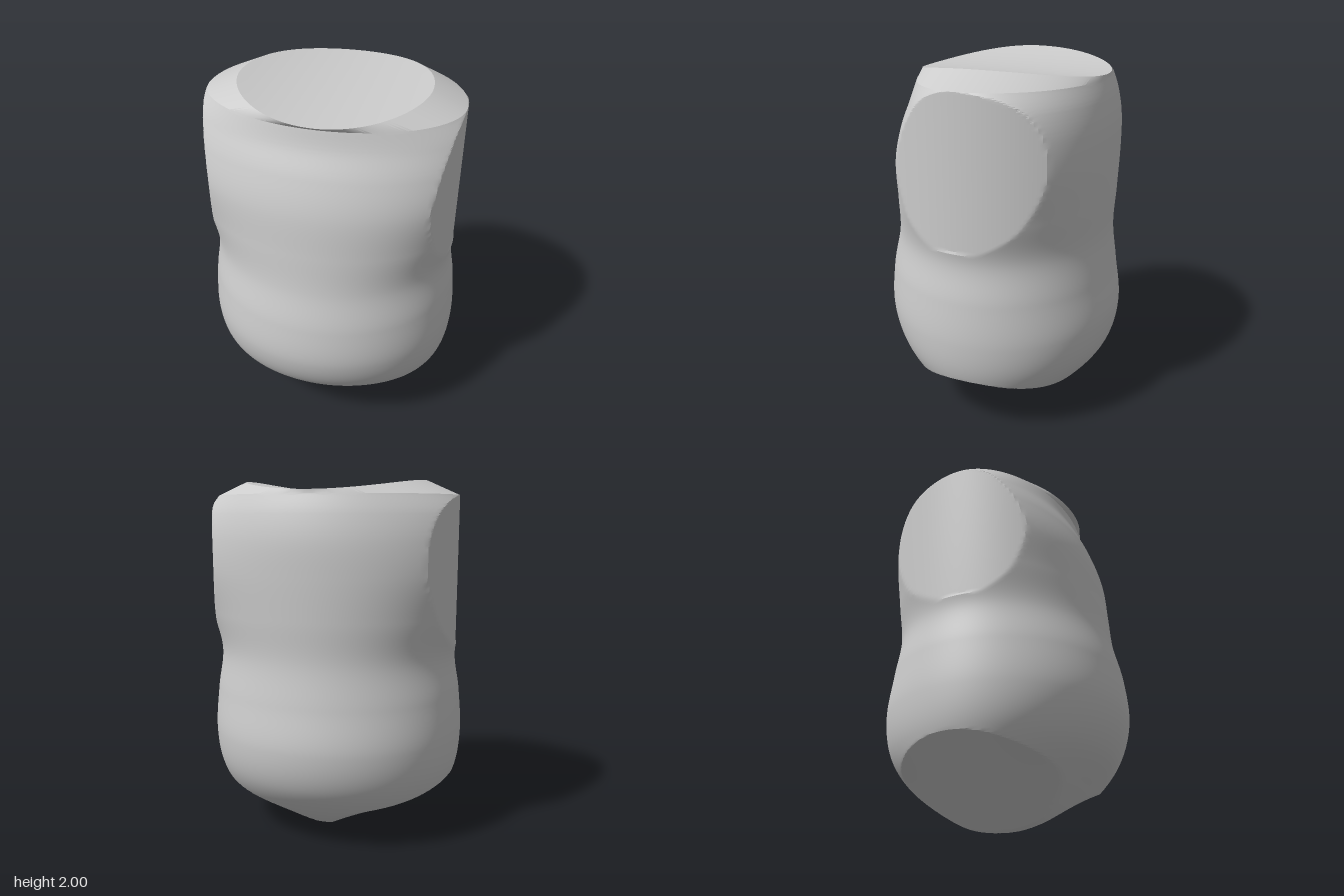
import * as THREE from 'three';
import { toCreasedNormals } from 'three/addons/utils/BufferGeometryUtils.js';

const SEGS = 180;
const ROWS = 200;

// Torso sections: height, half width, depth to the front, depth to the back
const sections = [
  [0, 0, 0, 0], [0.02, 0.25, 0.13, 0.19], [0.07, 0.43, 0.255, 0.32],
  [0.2, 0.62, 0.425, 0.5], [0.37, 0.705, 0.595, 0.63], [0.58, 0.732, 0.674, 0.675],
  [0.82, 0.716, 0.662, 0.645], [1.05, 0.688, 0.612, 0.616], [1.27, 0.748, 0.587, 0.622],
  [1.5, 0.815, 0.56, 0.626], [1.68, 0.81, 0.508, 0.622], [1.82, 0.765, 0.45, 0.6],
  [1.92, 0.69, 0.425, 0.57],
];

// Joint surfaces: gently bowed faces where arms, legs and neck attach
const armX = (z) => 0.69 - 0.6 * (z + 0.02) ** 2;
const legY = (x, z) => 0.01 + (x - 0.05) * 0.53 + 0.8 * Math.max(0, 1 - x / 0.69) * (z + 0.03) ** 2;
const neckY = (x) => 1.94 + 0.23 * x * x;

// Egg-shaped ring of [x, z] points with its own front and back depth
function ring(halfWidth, front, back) {
  return Array.from({ length: SEGS }, (_, j) => {
    const a = (j / SEGS) * Math.PI * 2;
    return [halfWidth * Math.cos(a), Math.sin(a) * (Math.sin(a) > 0 ? front : back)];
  });
}

// Skin a stack of closed rings
function loft(name, rings) {
  const index = [];
  for (let i = 0; i < rings.length - 1; i++) {
    for (let j = 0; j < SEGS; j++) {
      const k = (j + 1) % SEGS;
      const a = i * SEGS + j, b = i * SEGS + k;
      index.push(a, a + SEGS, b, b, a + SEGS, b + SEGS);
    }
  }
  const geometry = new THREE.BufferGeometry();
  geometry.setAttribute('position', new THREE.Float32BufferAttribute(rings.flat(2), 3));
  geometry.setIndex(index);
  const mesh = new THREE.Mesh(
    toCreasedNormals(geometry, 0.33),
    new THREE.MeshStandardMaterial({ color: 0xcccccc })
  );
  mesh.name = name;
  return mesh;
}

export function createModel() {
  const model = new THREE.Group();
  model.name = 'torso';

  // Smooth curves through the section table
  const [width, front, back] = [1, 2, 3].map(
    (c) => new THREE.SplineCurve(sections.map((s) => new THREE.Vector2(s[0], s[c])))
  );

  // Body, trimmed by the arm and leg joint surfaces
  const rings = [];
  for (let i = 0; i <= ROWS; i++) {
    const t = i / ROWS;
    const w = width.getPoint(t);
    rings.push(ring(w.y, front.getPoint(t).y, back.getPoint(t).y).map(([x, z]) => {
      let y = Math.max(0, w.x);
      if (y > 1.1) x = Math.sign(x) * Math.min(Math.abs(x), armX(z));
      if (y < 0.4) y = Math.max(y, legY(Math.abs(x), z));
      return [x, y, z];
    }));
  }

  // Shoulders rise to the saddle-shaped neck rim
  const rim = ring(0.51, 0.45, 0.57).map(([x, z]) => [x, neckY(x), z]);
  rings.push(rim);
  model.add(loft('body', rings));

  // Neck joint face
  const capRings = [];
  for (let i = 0; i <= 10; i++) {
    const s = 1 - i / 10;
    capRings.push(rim.map(([x, , z]) => [x * s, neckY(x * s), -0.06 + (z + 0.06) * s]));
  }
  model.add(loft('neckFace', capRings));

  return model;
}
